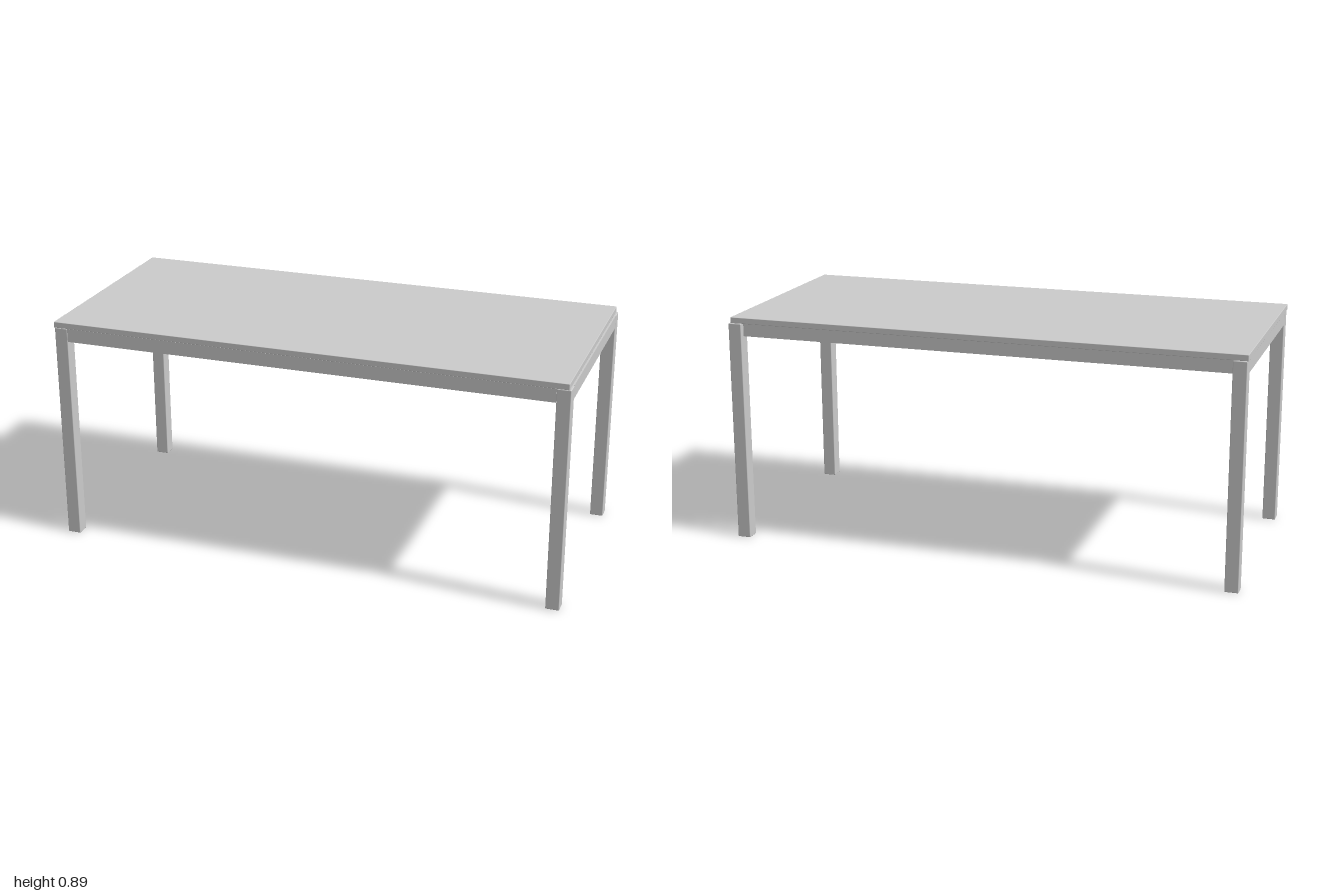
import * as THREE from 'three';
import { RoundedBoxGeometry } from 'three/addons/geometries/RoundedBoxGeometry.js';

const material = new THREE.MeshStandardMaterial({ color: 0xcccccc });

// Adds a box given by its minimum and maximum corners; a radius softens the edges
function addBox(group, name, min, max, radius = 0) {
  const size = max.map((v, i) => v - min[i]);
  const geometry = radius
    ? new RoundedBoxGeometry(...size, 2, radius)
    : new THREE.BoxGeometry(...size);
  const mesh = new THREE.Mesh(geometry, material);
  mesh.position.set(...max.map((v, i) => (v + min[i]) / 2));
  mesh.name = name;
  group.add(mesh);
}

export function createModel() {
  const table = new THREE.Group();
  table.name = 'table';

  const legTop = 0.863, railBottom = 0.811, thick = 0.052;
  const halfX = 0.997, halfZ = 0.444;
  const inX = halfX - thick, inZ = halfZ - thick;

  // Tabletop slab
  addBox(table, 'tabletop', [-1, legTop, -0.439], [0.99, 0.886, halfZ], 0.002);

  // Four square legs with slightly softened edges
  for (const sx of [-1, 1]) {
    for (const sz of [-1, 1]) {
      const x = sx * (halfX - thick / 2), z = sz * (halfZ - thick / 2), h = thick / 2;
      const name = (sz > 0 ? 'front' : 'back') + (sx > 0 ? 'Left' : 'Right') + 'Leg';
      addBox(table, name, [x - h, 0, z - h], [x + h, legTop, z + h], 0.003);
    }
  }

  // Long rails: the front one is flush with the legs, the back one is set in
  const inset = 0.022;
  addBox(table, 'frontRail', [-inX, railBottom, inZ], [inX, legTop, halfZ - 0.001]);
  addBox(table, 'backRail', [-inX, railBottom, -halfZ + inset], [inX, legTop, -inZ + inset]);

  // End rails between the legs
  addBox(table, 'leftRail', [inX, railBottom, -inZ], [halfX - 0.001, legTop, inZ]);
  addBox(table, 'rightRail', [-halfX + 0.001, railBottom, -inZ], [-inX, legTop, inZ]);

  return table;
}
